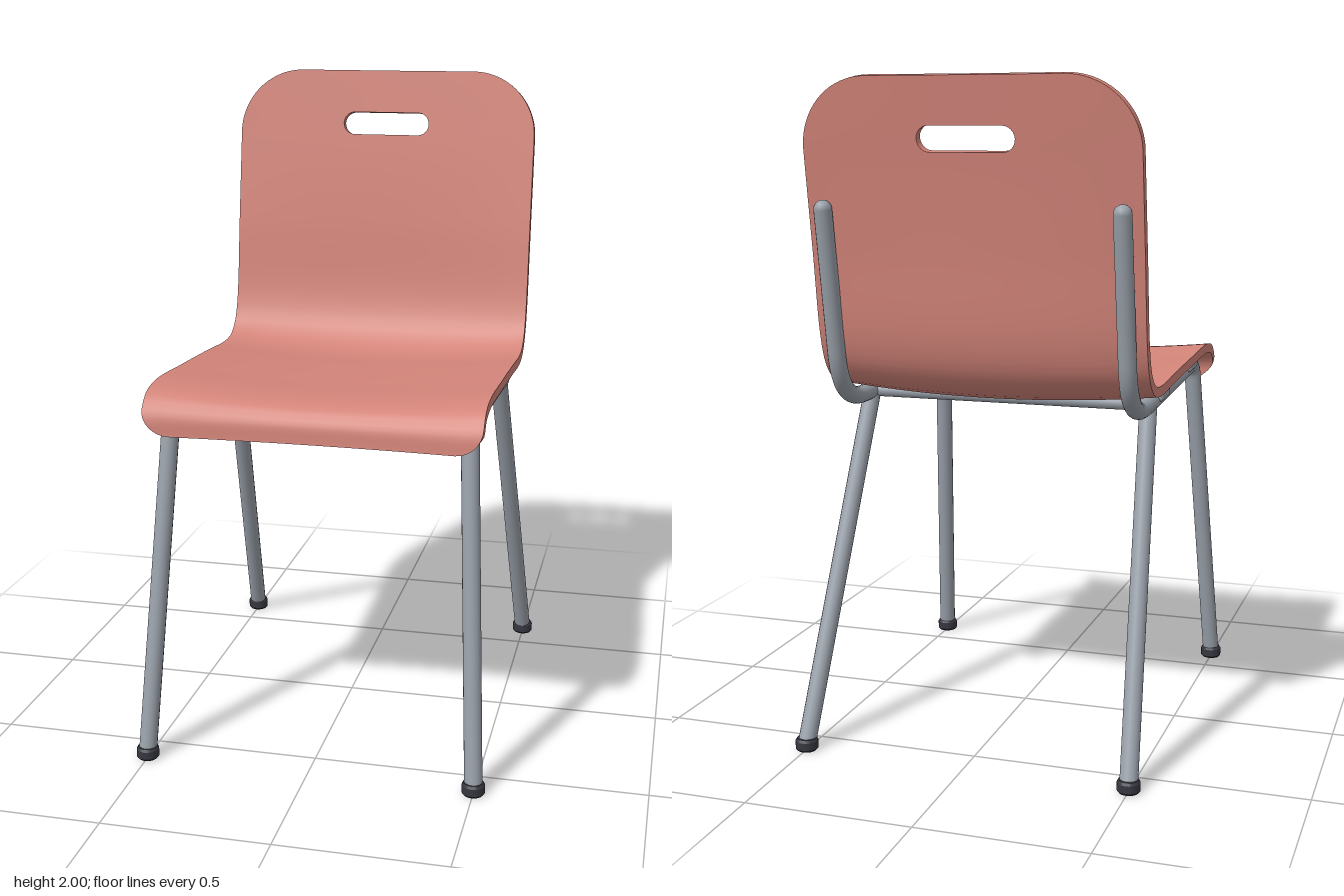
import * as THREE from 'three';
import { toCreasedNormals } from 'three/addons/utils/BufferGeometryUtils.js';
import { RoundedBoxGeometry } from 'three/addons/geometries/RoundedBoxGeometry.js';

const plastic = new THREE.MeshStandardMaterial({ name: 'coral plastic', color: 0xd4857a });
const steel = new THREE.MeshStandardMaterial({ name: 'grey steel', color: 0x9aa1aa });
const rubber = new THREE.MeshStandardMaterial({ name: 'dark rubber', color: 0x363740 });

const V = (x, y, z) => new THREE.Vector3(x, y, z);

function add(parent, name, geometry, material, x = 0, y = 0, z = 0) {
  const mesh = new THREE.Mesh(geometry, material);
  mesh.name = name;
  mesh.position.set(x, y, z);
  parent.add(mesh);
  return mesh;
}

// One-piece seat and back: a side profile swept across x, dished, with rounded corners and a hand slot
function shellGeometry() {
  const profile = new THREE.CatmullRomCurve3([
    [0.567, 1.01], [0.56, 1.07], [0.52, 1.122], [0.44, 1.143], [0.19, 1.135], [-0.07, 1.121],
    [-0.27, 1.11], [-0.335, 1.122], [-0.38, 1.16], [-0.412, 1.236], [-0.453, 1.5], [-0.5, 1.8], [-0.53, 2.0],
  ].map(([z, y]) => V(0, y, z)));
  profile.arcLengthDivisions = 600;
  const L = profile.getLength();
  const thick = 0.03, half = 0.5, frontR = 0.08, topR = 0.21;
  const slotR = 0.037, slotFlat = 0.108, slotMid = L - 0.175;

  // half width of the shell and of the slot at distance s along the profile
  const arc = (d, r) => Math.sqrt(Math.max(0, r * r - (r - d) * (r - d)));
  const halfWidth = (s) => {
    if (s < frontR) return half - frontR + arc(s, frontR);
    if (L - s < topR) return half - topR + arc(L - s, topR);
    return half;
  };
  const slotWidth = (s) => slotFlat + Math.sqrt(Math.max(0, slotR ** 2 - (s - slotMid) ** 2));

  // rows, closer together at the corners and the slot
  const rows = [];
  for (let k = 0; k < 8; k++) rows.push(frontR * (1 - Math.cos((k / 8) * Math.PI / 2)));
  for (let k = 0; k < 60; k++) rows.push(frontR + (slotMid - slotR - frontR) * k / 60);
  const slotStart = rows.length;
  for (let k = 0; k < 12; k++) rows.push(slotMid - slotR * Math.cos((k / 12) * Math.PI));
  const slotEnd = rows.length;
  const topStart = slotMid + slotR;
  for (let k = 0; k <= 14; k++) rows.push(topStart + (L - topStart) * Math.sin((k / 14) * Math.PI / 2));

  const n = 8, cols = 3 * n;
  const grid = rows.map((s) => {
    const p = profile.getPointAt(s / L), t = profile.getTangentAt(s / L);
    const normal = V(0, -t.z, t.y);
    const w = halfWidth(s), h = slotWidth(s);
    const sag = THREE.MathUtils.lerp(0.028, 0.014, THREE.MathUtils.smoothstep(p.y, 1.2, 1.8));
    return Array.from({ length: cols + 1 }, (_, j) => {
      const x = j <= n ? -w + (w - h) * j / n
        : j <= 2 * n ? -h + 2 * h * (j - n) / n
          : h + (w - h) * (j - 2 * n) / n;
      const drop = sag * (1 - (x / half) ** 2);
      const at = (d) => p.clone().addScaledVector(normal, -d).setX(x);
      return { top: at(drop), under: at(drop + thick) };
    });
  });

  const present = (i, j) => i >= 0 && j >= 0 && i < rows.length - 1 && j < cols
    && !(i >= slotStart && i < slotEnd && j >= n && j < 2 * n);
  const pos = [];
  const quad = (a, b, c, d) => [a, b, c, a, c, d].forEach((v) => pos.push(v.x, v.y, v.z));
  const wall = (a, b) => quad(a.under, b.under, b.top, a.top);
  for (let i = 0; i < rows.length - 1; i++) {
    for (let j = 0; j < cols; j++) {
      if (!present(i, j)) continue;
      const a = grid[i][j], b = grid[i][j + 1], c = grid[i + 1][j + 1], d = grid[i + 1][j];
      quad(a.top, b.top, c.top, d.top);
      quad(d.under, c.under, b.under, a.under);
      if (!present(i - 1, j)) wall(a, b);
      if (!present(i, j + 1)) wall(b, c);
      if (!present(i + 1, j)) wall(c, d);
      if (!present(i, j - 1)) wall(d, a);
    }
  }
  const g = new THREE.BufferGeometry();
  g.setAttribute('position', new THREE.Float32BufferAttribute(pos, 3));
  return toCreasedNormals(g, Math.PI / 4);
}

// Bent pipe: straight runs joined by curved corners; bends[i] is the length trimmed at corner i
function pipe(points, bends, radius, segments) {
  const path = new THREE.CurvePath();
  let from = points[0];
  for (let i = 1; i < points.length - 1; i++) {
    const c = points[i], r = bends[i - 1];
    const enter = c.clone().add(points[i - 1].clone().sub(c).setLength(r));
    const leave = c.clone().add(points[i + 1].clone().sub(c).setLength(r));
    path.add(new THREE.LineCurve3(from, enter));
    path.add(new THREE.QuadraticBezierCurve3(enter, c, leave));
    from = leave;
  }
  path.add(new THREE.LineCurve3(from, points[points.length - 1]));
  return new THREE.TubeGeometry(path, segments, radius, 16);
}

export function createModel() {
  const chair = new THREE.Group();
  chair.name = 'chair';
  add(chair, 'seatShell', shellGeometry(), plastic);

  const R = 0.027, railX = 0.445;
  const footProfile = [[0, 0], [0.029, 0], [0.034, 0.006], [0.034, 0.03], [0.029, 0.038], [0, 0.038]]
    .map(([x, y]) => new THREE.Vector2(x, y));
  const footGeometry = toCreasedNormals(new THREE.LatheGeometry(footProfile, 24), Math.PI / 6);

  for (const side of [1, -1]) {
    const frame = new THREE.Group();
    frame.name = side > 0 ? 'leftFrame' : 'rightFrame';
    chair.add(frame);
    const x = side * railX, footX = side * 0.5;

    // front leg, seat rail and back post in one bent tube
    add(frame, 'frontLegAndRail', pipe([
      V(footX, 0.02, 0.603), V(x, 1.077, 0.442), V(x, 1.04, -0.2), V(x, 1.037, -0.425), V(x, 1.62, -0.525),
    ], [0.05, 0.05, 0.16], R, 160), steel);
    add(frame, 'postTip', new THREE.SphereGeometry(R, 16, 12), steel, x, 1.62, -0.525);
    add(frame, 'rearLeg', pipe([V(footX, 0.02, -0.603), V(x, 1.035, -0.19)], [], R, 8), steel);

    // rubber feet
    for (const z of [0.603, -0.603]) add(frame, 'foot', footGeometry, rubber, footX, 0, z);

    // mounting pads under the seat and a stud behind the back
    for (const [y, z] of [[1.09, 0.31], [1.062, -0.105]]) {
      add(frame, 'seatPad', new RoundedBoxGeometry(0.075, 0.036, 0.1, 3, 0.012), steel, x, y, z).rotation.x = -0.05;
    }
    add(frame, 'backStud', new THREE.CapsuleGeometry(0.021, 0.02, 6, 14), steel, x, 1.47, -0.485)
      .rotation.x = Math.PI / 2;
  }

  // crossbars joining the two rails
  for (const [y, z] of [[1.07, 0.37], [1.04, -0.19]]) {
    add(chair, 'crossbar', new THREE.CylinderGeometry(0.02, 0.02, 2 * railX, 16), steel, 0, y, z).rotation.z = Math.PI / 2;
  }
  return chair;
}
